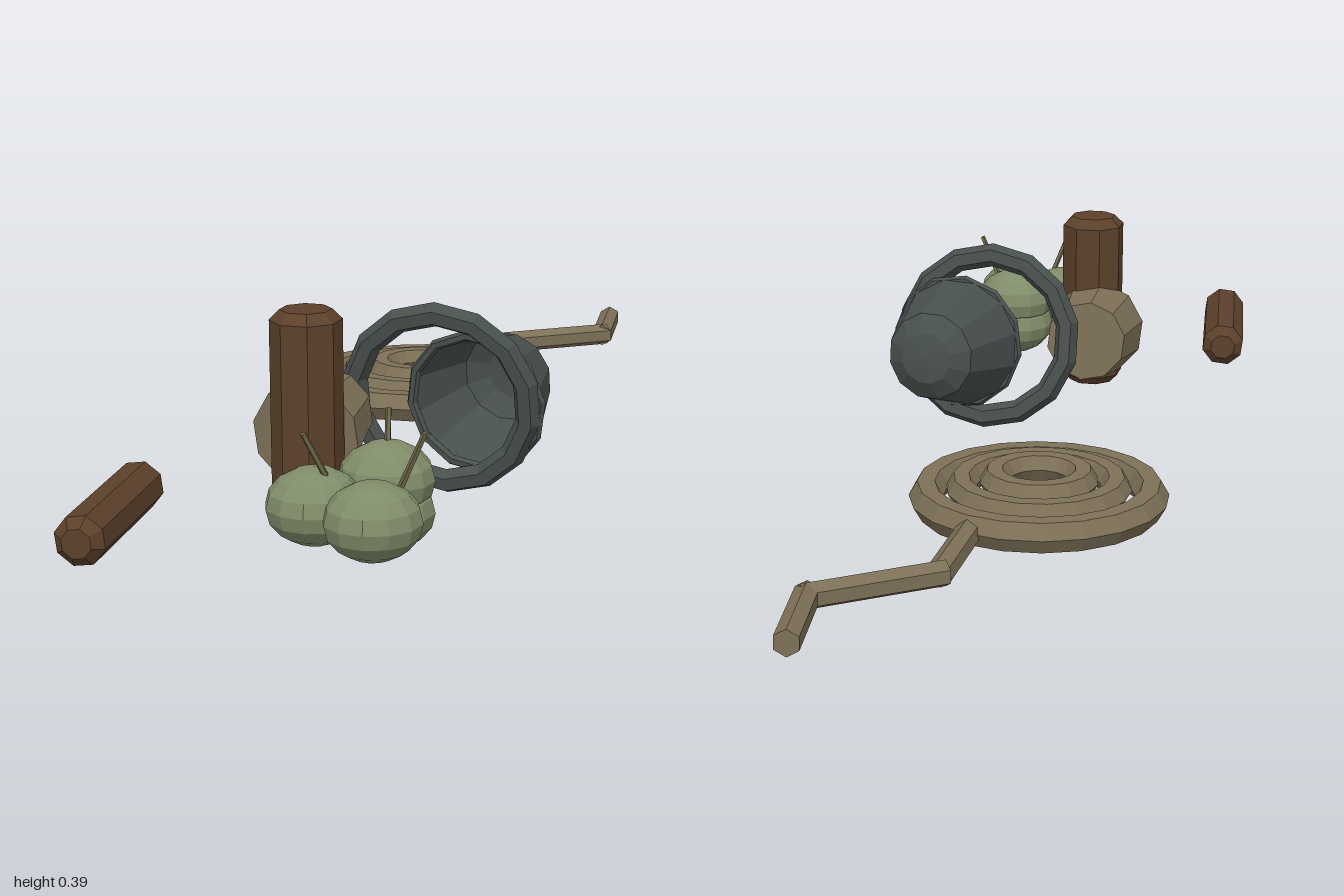
import * as THREE from 'three';

const V = (x, y, z) => new THREE.Vector3(x, y, z);

function makeMaterial(name, color, side = THREE.FrontSide) {
  const m = new THREE.MeshStandardMaterial({ color, flatShading: true, side });
  m.name = name;
  return m;
}

export function createModel() {
  const model = new THREE.Group();
  model.name = 'campLitter';

  const bark = makeMaterial('barkBrown', 0x5c412b);
  const rope = makeMaterial('ropeTan', 0x7d7057);
  const metal = makeMaterial('darkMetal', 0x48504e, THREE.DoubleSide);
  const fruit = makeMaterial('fruitGreen', 0x7f8c69);
  const stem = makeMaterial('stemOlive', 0x6c6848);

  function add(parent, name, geometry, material) {
    const mesh = new THREE.Mesh(geometry, material);
    mesh.name = name;
    parent.add(mesh);
    return mesh;
  }
  function group(name) {
    const g = new THREE.Group();
    g.name = name;
    model.add(g);
    return g;
  }
  // Lathe of [radius, height] points whose axis starts at a and points to b
  function turned(parent, name, a, b, profile, sides, material) {
    const pts = profile.map(([r, h]) => new THREE.Vector2(r, h));
    const mesh = add(parent, name, new THREE.LatheGeometry(pts, sides), material);
    mesh.position.copy(a);
    mesh.quaternion.setFromUnitVectors(V(0, 1, 0), b.clone().sub(a).normalize());
    return mesh;
  }
  // Straight or tapered bar between two points
  function bar(parent, name, a, b, r0, r1, sides, material) {
    const l = a.distanceTo(b);
    return turned(parent, name, a, b, [[0, 0], [r0, 0], [r1, l], [0, l]], sides, material);
  }
  // Log with bevelled ends
  function log(name, a, b, r) {
    const l = a.distanceTo(b), c = 0.018;
    return turned(model, name, a, b,
      [[0, 0], [r - c, 0], [r, c], [r, l - c], [r - c, l], [0, l]], 8, bark);
  }

  // Logs and the pale stub
  log('lyingLog', V(-0.977, 0.09, 0.054), V(-0.68, 0.09, -0.115), 0.044);
  log('uprightLog', V(-0.475, 0.037, 0.082), V(-0.475, 0.388, 0.082), 0.063);
  bar(model, 'paleStub', V(-0.455, 0.155, 0.058), V(-0.33, 0.165, 0.002), 0.098, 0.08, 10, rope);

  // Pot with rounded base and a loose ring round its mouth
  const pot = group('pot');
  const mouth = V(-0.15, 0.175, 0.19);
  const potAxis = V(0.95, 0.08, -0.28);
  turned(pot, 'potBody', mouth, mouth.clone().add(potAxis),
    [[0, 0.185], [0.05, 0.18], [0.086, 0.155], [0.13, 0]].reverse(), 12, metal);
  const ringNormal = V(0.9, 0.16, -0.38).normalize();
  const ring = add(pot, 'potRing', new THREE.TorusGeometry(0.163, 0.023, 6, 14), metal);
  ring.position.set(-0.195, 0.184, 0.147);
  ring.quaternion.setFromUnitVectors(V(0, 0, 1), ringNormal);
  const lip = add(pot, 'potLip', new THREE.TorusGeometry(0.126, 0.01, 6, 12), metal);
  lip.position.copy(mouth);
  lip.quaternion.setFromUnitVectors(V(0, 0, 1), potAxis.clone().normalize());

  // Coiled rope: stacked rings
  const coil = group('ropeCoil');
  [[0.2, 0.031, 0.062], [0.138, 0.027, 0.076], [0.079, 0.027, 0.089]].forEach(([R, r, y], i) => {
    const g = new THREE.TorusGeometry(R, r, 6, 20 - 2 * i);
    g.rotateX(Math.PI / 2);
    add(coil, 'coilRing' + (i + 1), g, rope).position.set(0.235, y, -0.275);
  });
  // Zigzag loose end
  [
    [0.44, -0.275, 0.635, -0.355],
    [0.622, -0.36, 0.838, -0.236],
    [0.82, -0.235, 0.987, -0.335],
  ].forEach(([x0, z0, x1, z1], i) =>
    bar(coil, 'ropeTail' + (i + 1), V(x0, 0.06, z0), V(x1, 0.06, z1), 0.023, 0.023, 6, rope));

  // Fruit cluster
  const cluster = group('fruitCluster');
  [
    [-0.69, 0.135, 0.3],
    [-0.685, 0.132, 0.42],
    [-0.556, 0.155, 0.335],
    [-0.556, 0.1, 0.335],
  ].forEach(([x, y, z], i) => {
    const f = add(cluster, 'fruit' + (i + 1), new THREE.SphereGeometry(0.081, 12, 8), fruit);
    f.position.set(x, y, z);
    f.scale.y = 0.79;
  });
  [
    [V(-0.68, 0.16, 0.335), V(-0.73, 0.265, 0.315)],
    [V(-0.557, 0.18, 0.337), V(-0.527, 0.265, 0.315)],
    [V(-0.612, 0.16, 0.41), V(-0.605, 0.265, 0.46)],
  ].forEach(([a, b], i) => bar(cluster, 'stem' + (i + 1), a, b, 0.006, 0.005, 5, stem));

  return model;
}
